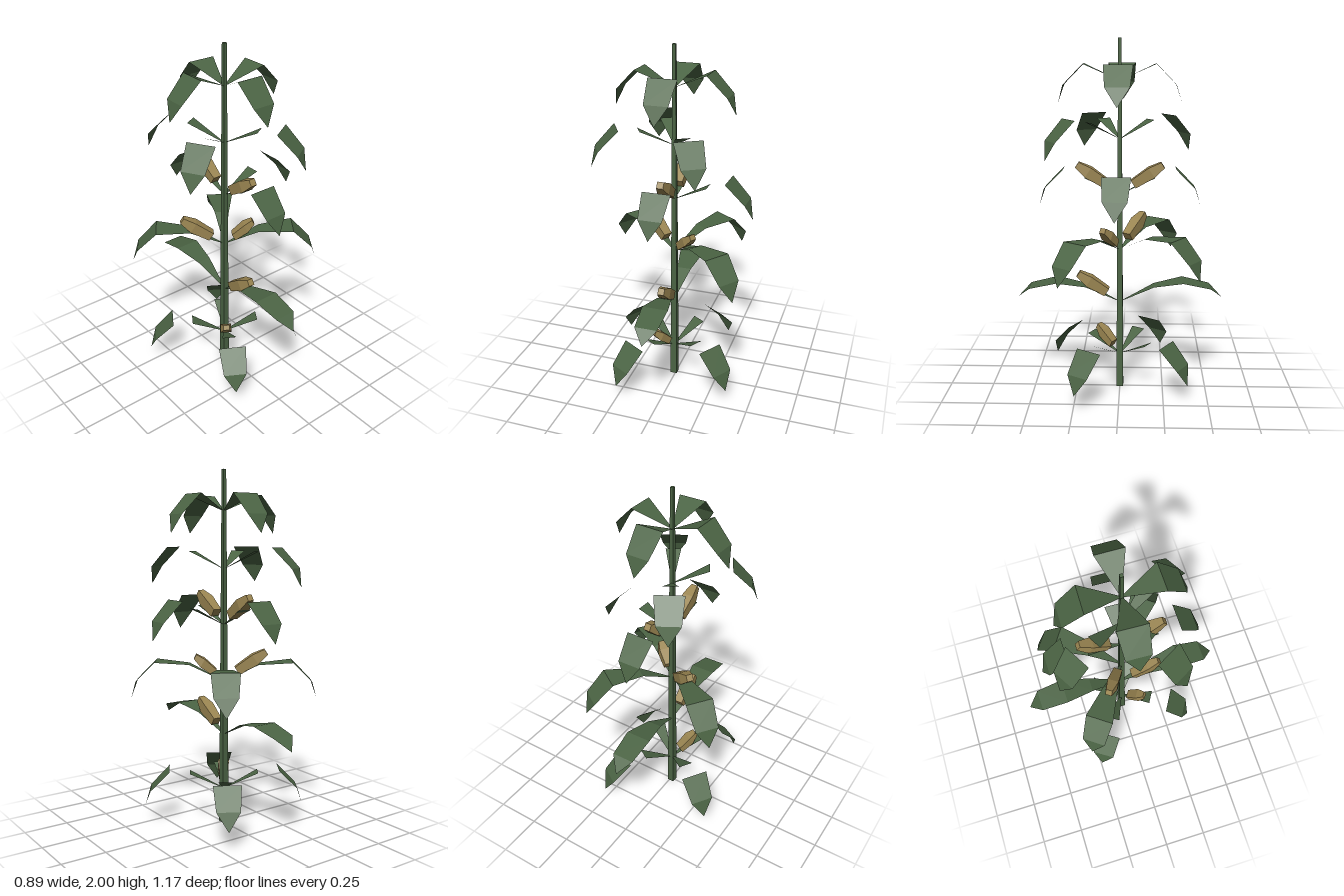
import * as THREE from 'three';

const green = new THREE.MeshStandardMaterial({ color: 0x4b6444, flatShading: true, side: THREE.DoubleSide });
green.name = 'leafGreen';
const tan = new THREE.MeshStandardMaterial({ color: 0x9a8551, flatShading: true });
tan.name = 'cobTan';

const STEM_X = -0.01;

// Flat strip along +x from cross-sections [distance, height, half width]
function blade(sections) {
  const pos = [];
  for (let i = 0; i < sections.length - 1; i++) {
    const [r0, y0, w0] = sections[i], [r1, y1, w1] = sections[i + 1];
    const a = [r0, y0, -w0], b = [r0, y0, w0], c = [r1, y1, w1], d = [r1, y1, -w1];
    pos.push(...a, ...b, ...c);
    if (w1 > 0) pos.push(...a, ...c, ...d);
  }
  const g = new THREE.BufferGeometry();
  g.setAttribute('position', new THREE.Float32BufferAttribute(pos, 3));
  g.computeVertexNormals();
  return g;
}

// Drooping outer half of a leaf, starting at its elbow
const droop = (r, y) => [[r, y, 0.078], [r + 0.108, y - 0.11, 0.065], [r + 0.14, y - 0.21, 0]];
// Rising inner part, widening steadily from the stem
const root = [0, 0, 0.003];
const inner = [root, [0.195, 0.098, 0.042]];

// Leaf kinds: each is a list of strips
const kinds = {
  short: [[root, ...droop(0.197, 0.09)]],
  split: [inner, droop(0.312, 0.12)],
  splitHigh: [inner, droop(0.31, 0.15)],
  arched: [[...inner, ...droop(0.385, 0.115)]],
  long: [[...inner, [0.36, 0.13, 0.073], [0.515, 0.095, 0.063], [0.585, 0.03, 0]]],
};

// Rings of leaves and cobs; angles in degrees from +x towards +z
const levels = [
  { y: 0.20, kind: 'split', leaves: [32, 120, 213, 302], cobs: [[124, 0.65]] },
  { y: 0.52, kind: 'long', leaves: [88.8, 269], cobs: [[90, 1]] },
  { y: 0.83, kind: 'arched', leaves: [36.5, 215.5, 304], cobs: [[34, 0.68], [214, 1]] },
  { y: 1.15, kind: 'splitHigh', leaves: [2, 89.3, 269.3], cobs: [[90, 1], [270, 1]] },
  { y: 1.46, kind: 'split', leaves: [59, 150, 240], cobs: [] },
  { y: 1.775, kind: 'short', leaves: [1, 89.3, 182, 270.7], cobs: [] },
];

// Four-sided cob, narrower at both ends, leaning outwards
function cobGeometry() {
  const profile = [[0, 0], [0.036, 0], [0.045, 0.12], [0.026, 0.195], [0, 0.195]];
  const g = new THREE.LatheGeometry(profile.map(([x, y]) => new THREE.Vector2(x, y)), 4, Math.PI / 4);
  g.rotateZ(-Math.PI / 2 + 0.58);
  g.translate(0.075, 0.06, 0);
  return g;
}

export function createModel() {
  const model = new THREE.Group();
  model.name = 'cornPlant';

  // Square, tapering stem
  const stem = new THREE.Mesh(new THREE.CylinderGeometry(0.0125, 0.028, 2, 4, 1, false, Math.PI / 4), green);
  stem.name = 'stem';
  stem.position.set(STEM_X, 1, 0);
  model.add(stem);

  const geos = {};
  for (const k in kinds) geos[k] = kinds[k].map(blade);
  const cobGeo = cobGeometry();

  levels.forEach((level, i) => {
    const ring = new THREE.Group();
    ring.name = `leafRing${i + 1}`;
    ring.position.set(STEM_X, level.y, 0);
    for (const deg of level.leaves) {
      const leaf = new THREE.Group();
      leaf.name = 'leaf';
      leaf.rotation.y = -THREE.MathUtils.degToRad(deg);
      geos[level.kind].forEach((g, j) => {
        const part = new THREE.Mesh(g, green);
        part.name = j ? 'leafTip' : 'leafBlade';
        leaf.add(part);
      });
      ring.add(leaf);
    }
    // Young cobs are shorter
    for (const [deg, length] of level.cobs) {
      const cob = new THREE.Mesh(cobGeo, tan);
      cob.name = 'cob';
      cob.rotation.y = -THREE.MathUtils.degToRad(deg);
      cob.scale.set(length, length < 1 ? 0.85 : 1, 1);
      ring.add(cob);
    }
    model.add(ring);
  });
  return model;
}
